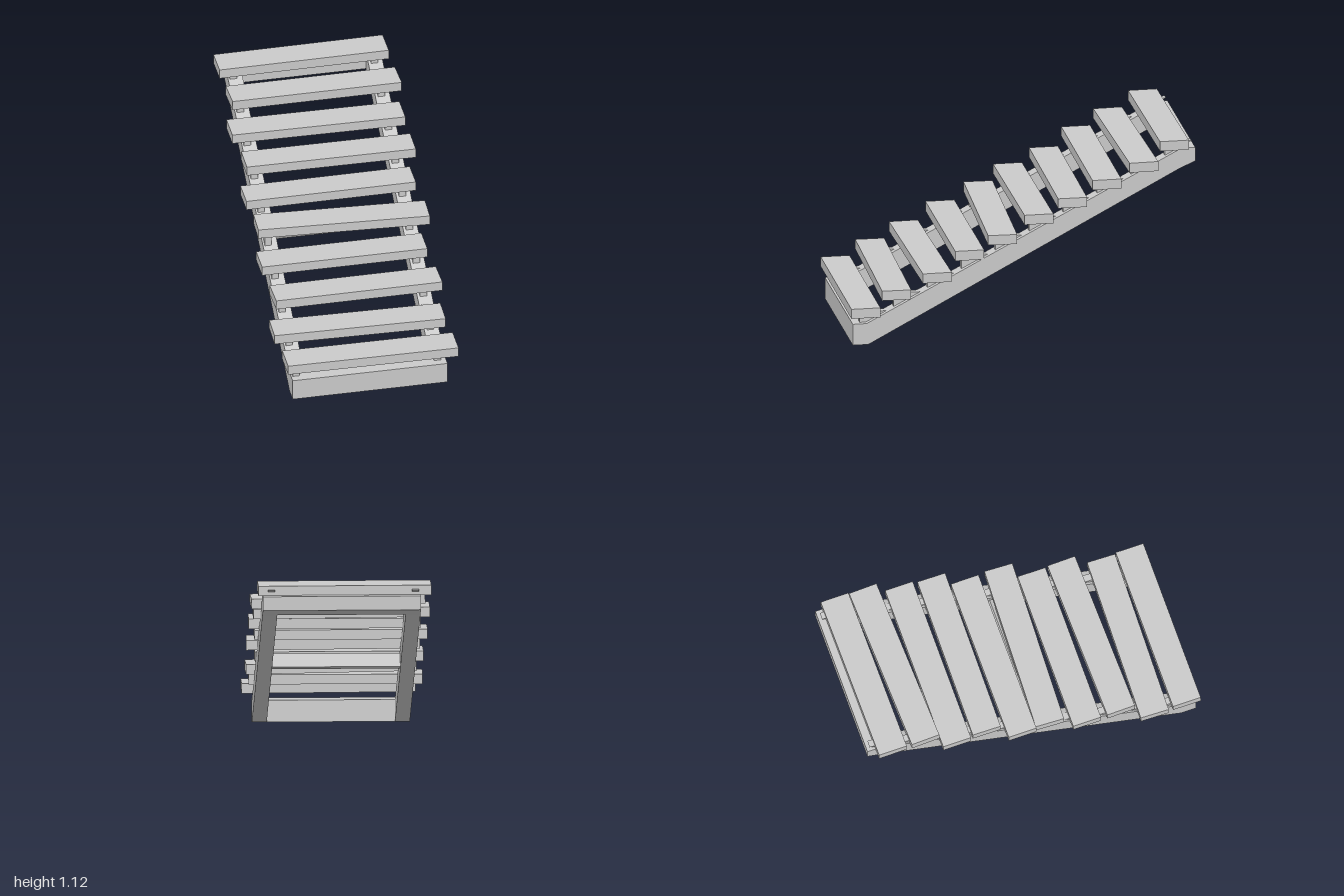
import * as THREE from 'three';

const material = new THREE.MeshStandardMaterial({ color: 0xcccccc, flatShading: true });

// Extrudes a [z, y] side profile along x, between x0 and x1
function sideProfile(name, points, x0, x1) {
  const shape = new THREE.Shape(points.map(([z, y]) => new THREE.Vector2(z, y)));
  const geometry = new THREE.ExtrudeGeometry(shape, { depth: x1 - x0, bevelEnabled: false });
  geometry.rotateY(-Math.PI / 2).translate(x1, 0, 0);
  const mesh = new THREE.Mesh(geometry, material);
  mesh.name = name;
  return mesh;
}

function box(name, w, h, d) {
  const mesh = new THREE.Mesh(new THREE.BoxGeometry(w, h, d), material);
  mesh.name = name;
  return mesh;
}

const OUTER = 0.45, INNER = 0.365;
const slopeTop = (z) => 0.592 - 0.519 * z;

// Plank: left end x, right end x, centre y, centre z, rise and z shift from end to end
const TREADS = [
  [-0.48, 0.51, 0.208, 0.915, -0.005, 0],
  [-0.515, 0.475, 0.292, 0.72, 0, 0.022],
  [-0.47, 0.5, 0.397, 0.511, -0.012, -0.022],
  [-0.505, 0.455, 0.5, 0.305, 0, 0],
  [-0.48, 0.51, 0.606, 0.107, -0.012, 0.035],
  [-0.515, 0.47, 0.698, -0.09, 0, -0.005],
  [-0.47, 0.51, 0.798, -0.284, 0, 0.008],
  [-0.515, 0.49, 0.894, -0.482, -0.008, 0],
  [-0.48, 0.51, 0.998, -0.676, -0.02, -0.033],
  [-0.51, 0.475, 1.095, -0.871, 0, -0.008],
];

export function createModel() {
  const group = new THREE.Group();
  group.name = 'staircase';

  // Sloping side beams with level ends
  const stringer = [
    [0.98, 0], [0.98, 0.125], [0.9, 0.125], [-0.92, 1.07],
    [-1, 1.07], [-1, 0.99], [-0.9, 0.945], [0.89, 0],
  ];
  group.add(sideProfile('rightStringer', stringer, -OUTER, -INNER));
  group.add(sideProfile('leftStringer', stringer, INNER, OUTER));

  // Cross beams at the foot, head and middle
  group.add(sideProfile('footBeam',
    [[0.98, 0], [0.98, 0.125], [0.9, 0.125], [0.89, 0]], -INNER, INNER));
  group.add(sideProfile('headBeam',
    [[-0.9, 0.945], [-0.9, 1.06], [-0.92, 1.07], [-1, 1.07], [-1, 0.99]], -INNER, INNER));
  const brace = box('middleBrace', INNER * 2, 0.08, 0.04);
  brace.position.set(0, 0.51, 0.02);
  brace.rotation.x = Math.atan(0.519);
  group.add(brace);

  // Uneven planks, each on two wedge blocks
  TREADS.forEach(([x0, x1, y, z, rise, shift], i) => {
    const length = x1 - x0;
    const tread = box('tread' + (i + 1), length, 0.057, 0.167);
    tread.position.set((x0 + x1) / 2, y, z);
    tread.rotation.set(0, -shift / length, rise / length);
    group.add(tread);

    const front = 0.935 - 0.196 * i;
    const base = slopeTop(front);
    const wedge = [[front, base], [front, base + 0.08], [front - 0.154, base + 0.08]];
    group.add(sideProfile('rightBlock' + (i + 1), wedge, -0.44, -0.4));
    group.add(sideProfile('leftBlock' + (i + 1), wedge, 0.38, 0.42));
  });

  return group;
}
